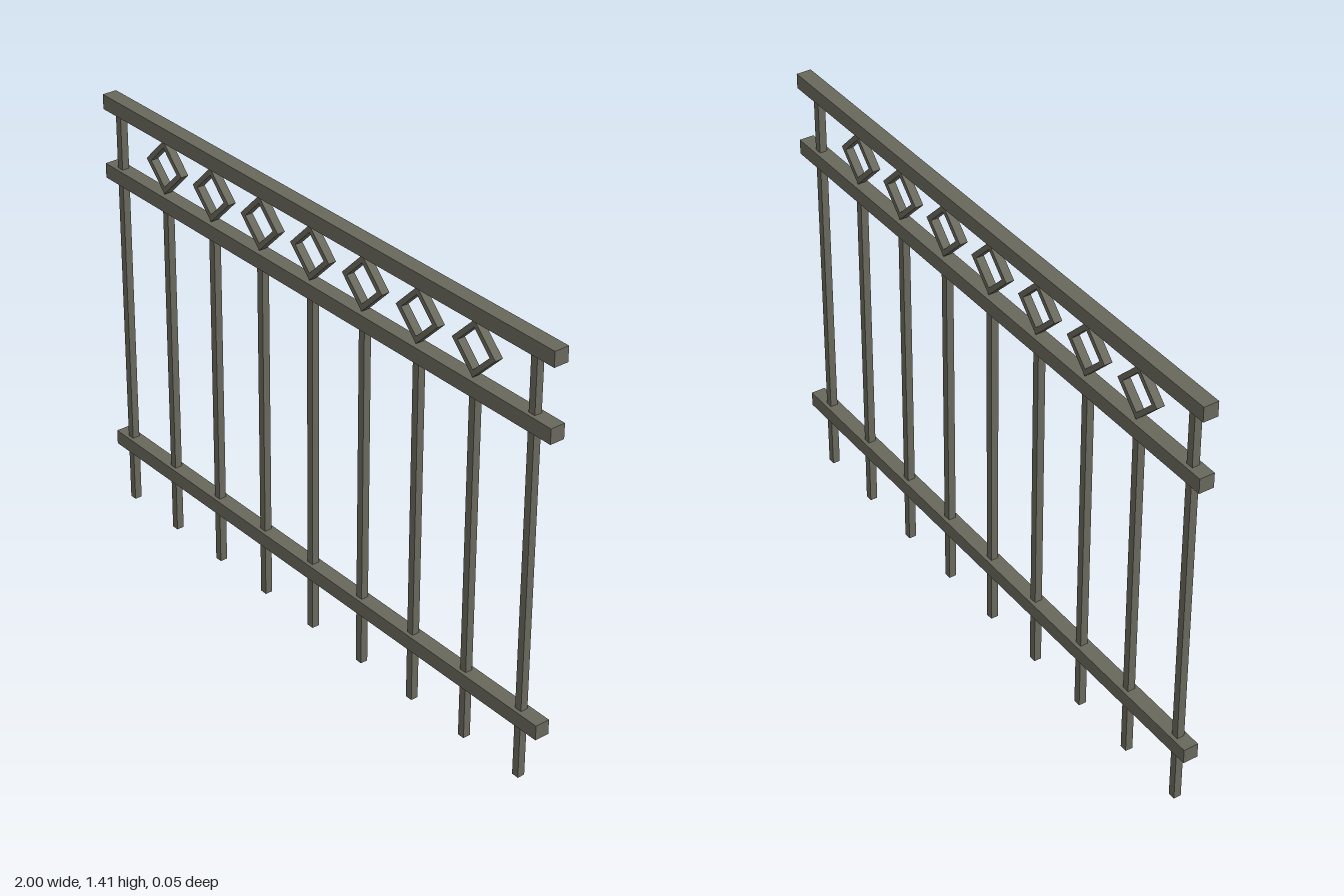
import * as THREE from 'three';

export function createModel() {
  const fence = new THREE.Group();
  fence.name = 'fencePanel';
  const iron = new THREE.MeshStandardMaterial({ color: 0x68675c });
  iron.name = 'greyIron';

  const add = (name, geometry, x, y) => {
    const mesh = new THREE.Mesh(geometry, iron);
    mesh.name = name;
    mesh.position.set(x, y, 0);
    fence.add(mesh);
  };

  // Horizontal rails
  const rail = new THREE.BoxGeometry(2, 0.048, 0.048);
  add('lowerRail', rail, 0, 0.206);
  add('middleRail', rail, 0, 1.155);
  add('topRail', rail, 0, 1.383);

  // Diamond ring: square outline with a square hole, standing on its corner
  const diamondPath = (path, r) => {
    path.moveTo(r, 0);
    path.lineTo(0, r);
    path.lineTo(-r, 0);
    path.lineTo(0, -r);
    path.closePath();
    return path;
  };
  const depth = 0.026;
  const outline = diamondPath(new THREE.Shape(), 0.087);
  outline.holes.push(diamondPath(new THREE.Path(), 0.064));
  const diamond = new THREE.ExtrudeGeometry(outline, { depth, bevelEnabled: false });
  diamond.translate(0, 0, -depth / 2);

  // Posts at both ends reach the top rail; pickets between carry a diamond
  const count = 9;
  for (let i = 0; i < count; i++) {
    const x = -0.94 + i * 0.2316;
    const isEnd = i === 0 || i === count - 1;
    const height = isEnd ? 1.37 : 1.145;
    add(isEnd ? 'endPost' : 'picket', new THREE.BoxGeometry(0.024, height, 0.024), x, height / 2);
    if (!isEnd) add('diamond', diamond, x, 1.27);
  }
  return fence;
}
